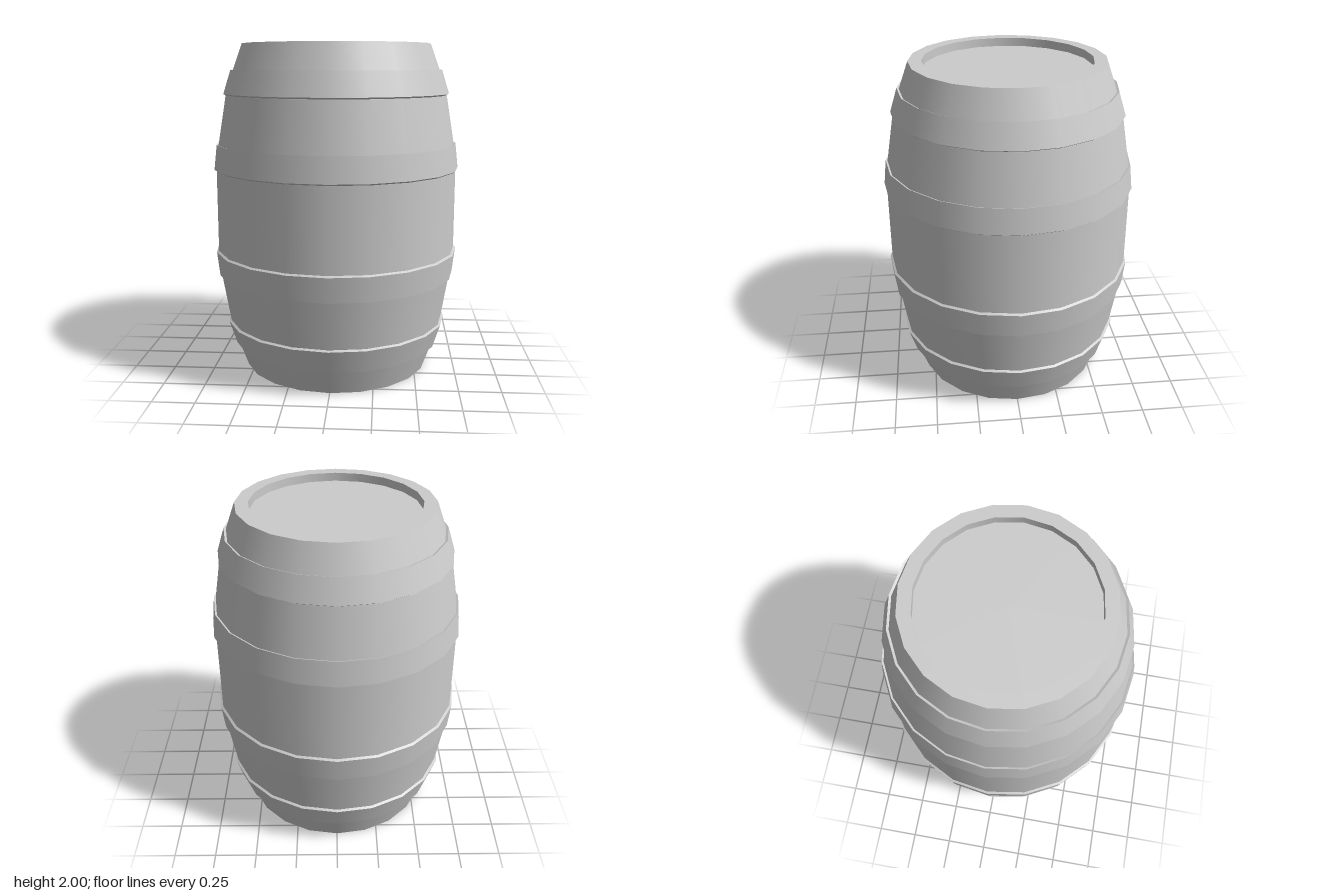
import * as THREE from 'three';
import { mergeGeometries } from 'three/addons/utils/BufferGeometryUtils.js';

const SIDES = 20;
const material = new THREE.MeshStandardMaterial({ color: 0xcccccc });

// Revolves [radius, y] points, keeping a sharp edge at every point.
function revolve(name, points) {
  const strips = [];
  for (let i = 0; i < points.length - 1; i++) {
    const pair = [points[i], points[i + 1]].map(([r, y]) => new THREE.Vector2(r, y));
    strips.push(new THREE.LatheGeometry(pair, SIDES));
  }
  const mesh = new THREE.Mesh(mergeGeometries(strips), material);
  mesh.name = name;
  return mesh;
}

// Reflects a profile about mid-height, keeping its outward direction.
const flip = (points) => points.map(([r, y]) => [r, 2 - y]).reverse();

export function createModel() {
  const barrel = new THREE.Group();
  barrel.name = 'barrel';

  // Bulging staves
  const lower = [[0.572, 0], [0.63, 0.16], [0.675, 0.305], [0.725, 0.6], [0.74, 0.755]];
  barrel.add(revolve('staves', [...lower, ...flip(lower)]));

  // Rims and recessed heads
  const head = [[0, 0.05], [0.495, 0.05], [0.495, 0], [0.572, 0]];
  barrel.add(revolve('bottomHead', head), revolve('topHead', flip(head)));

  // Two tapered hoops on each half
  const endHoop = [[0.629, 0.16], [0.643, 0.154], [0.688, 0.295], [0.674, 0.304]];
  const bellyHoop = [[0.724, 0.6], [0.736, 0.596], [0.753, 0.745], [0.738, 0.755]];
  for (const [name, profile] of [['EndHoop', endHoop], ['BellyHoop', bellyHoop]]) {
    barrel.add(revolve('lower' + name, profile), revolve('upper' + name, flip(profile)));
  }
  return barrel;
}
